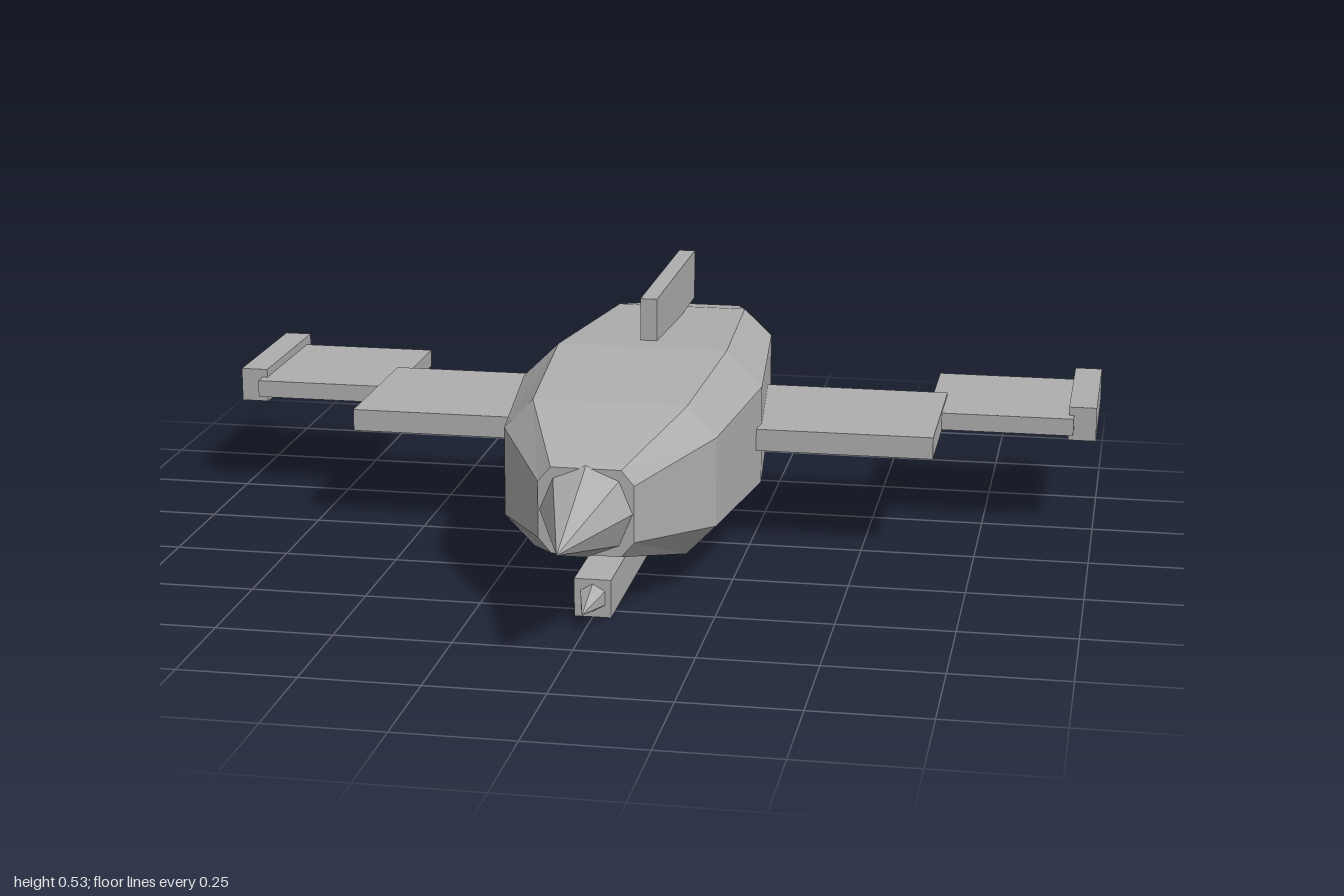
import * as THREE from 'three';

const grey = new THREE.MeshStandardMaterial({ color: 0xaeaeae, flatShading: true });
grey.name = 'hull grey';

const AXIS_Y = 0.248; // height of the hull centre line

function add(group, name, geometry) {
  const mesh = new THREE.Mesh(geometry, grey);
  mesh.name = name;
  group.add(mesh);
  return mesh;
}

// Box given by its extents on each axis
function box(group, name, [x0, x1], [y0, y1], [z0, z1]) {
  const mesh = add(group, name, new THREE.BoxGeometry(x1 - x0, y1 - y0, z1 - z0));
  mesh.position.set((x0 + x1) / 2, (y0 + y1) / 2, (z0 + z1) / 2);
}

// Tapered round part along z, from the back radius to the front radius
function taper(group, name, y, zBack, zFront, rBack, rFront, sides, start = 0) {
  const g = new THREE.CylinderGeometry(rFront, rBack, zFront - zBack, sides, 1, false, start);
  g.rotateX(Math.PI / 2);
  add(group, name, g).position.set(0, y, (zBack + zFront) / 2);
}

// Octagonal hull lofted through sections from back to front
function hullGeometry() {
  // z, half width, half width of flat top, half height, half height of flat side
  const sections = [
    [-0.765, 0.15, 0.107, 0.117, 0.073],
    [-0.565, 0.217, 0.152, 0.157, 0.095],
    [-0.03, 0.27, 0.19, 0.188, 0.11],
    [0.353, 0.228, 0.165, 0.162, 0.097],
    [0.61, 0.1, 0.073, 0.092, 0.06],
  ];
  const rings = sections.map(([z, w, t, h, s]) =>
    [[w, -s], [w, s], [t, h], [-t, h], [-w, s], [-w, -s], [-t, -h], [t, -h]]
      .map(([x, y]) => [x, y + AXIS_Y, z]));
  const pos = [];
  const tri = (a, b, c) => pos.push(...a, ...b, ...c);
  for (let i = 0; i < rings.length - 1; i++) {
    for (let j = 0; j < 8; j++) {
      const k = (j + 1) % 8;
      tri(rings[i][j], rings[i][k], rings[i + 1][k]);
      tri(rings[i][j], rings[i + 1][k], rings[i + 1][j]);
    }
  }
  const back = rings[0], front = rings[rings.length - 1];
  for (let j = 1; j < 7; j++) {
    tri(front[0], front[j], front[j + 1]);
    tri(back[0], back[j + 1], back[j]);
  }
  const g = new THREE.BufferGeometry();
  g.setAttribute('position', new THREE.Float32BufferAttribute(pos, 3));
  g.computeVertexNormals();
  return g;
}

export function createModel() {
  const model = new THREE.Group();
  model.name = 'spacecraft';

  add(model, 'hull', hullGeometry());
  taper(model, 'noseCone', AXIS_Y, 0.606, 0.9, 0.098, 0, 8);
  taper(model, 'engineNozzle', AXIS_Y, -0.897, -0.76, 0.07, 0.098, 10, Math.PI / 2);

  // Dorsal fin
  box(model, 'dorsalFin', [-0.019, 0.019], [0.412, 0.527], [-0.635, -0.112]);

  // Belly gun pod
  box(model, 'bellyPod', [-0.039, 0.039], [0, 0.082], [0.09, 0.544]);
  taper(model, 'bellyPodTip', 0.042, 0.54, 0.656, 0.031, 0, 6);

  // Stepped wings with tip rails
  for (const side of [1, -1]) {
    const wing = new THREE.Group();
    wing.name = side > 0 ? 'leftWing' : 'rightWing';
    const span = (a, b) => (side > 0 ? [a, b] : [-b, -a]);
    box(wing, 'innerPanel', span(0.1, 0.655), [0.224, 0.273], [-0.371, 0.018]);
    box(wing, 'outerPanel', span(0.622, 0.95), [0.229, 0.268], [-0.567, -0.209]);
    box(wing, 'tipRail', span(0.938, 1), [0.21, 0.287], [-0.601, -0.242]);
    model.add(wing);
  }
  return model;
}
